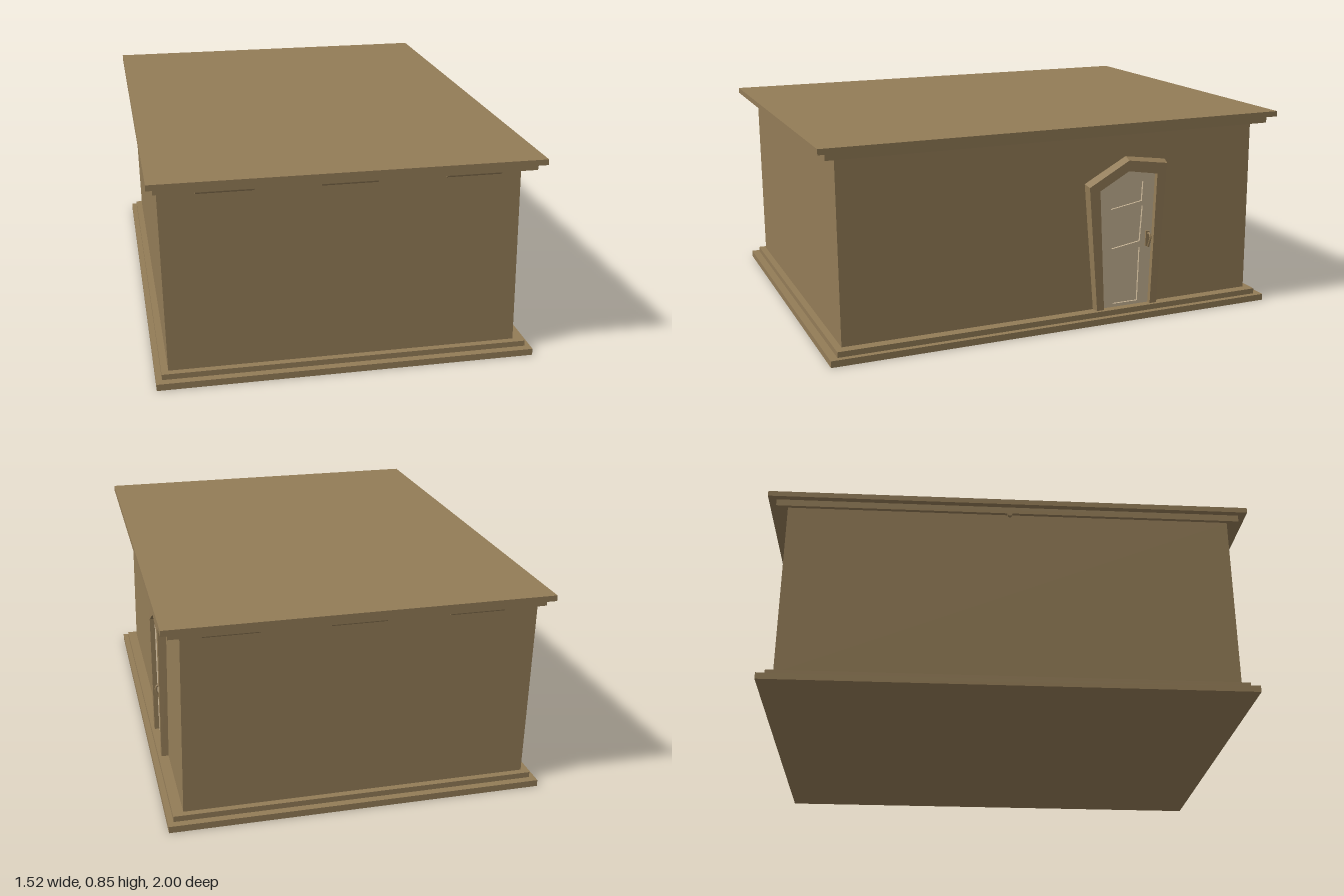
import * as THREE from 'three';

const brown = new THREE.MeshStandardMaterial({ color: 0x937c57 });
brown.name = 'wall brown';
const cream = new THREE.MeshStandardMaterial({ color: 0xc6b394 });
cream.name = 'door cream';

function add(parent, name, geometry, material = brown) {
  const mesh = new THREE.Mesh(geometry, material);
  mesh.name = name;
  parent.add(mesh);
  return mesh;
}

// Box between two heights, each end with its own x range: [xMin, xMax]
function slab(y0, y1, bottomX, topX, halfZ) {
  const g = new THREE.BoxGeometry(1, 1, 1);
  const p = g.attributes.position;
  for (let i = 0; i < p.count; i++) {
    const top = p.getY(i) > 0;
    const range = top ? topX : bottomX;
    p.setXYZ(i, range[p.getX(i) > 0 ? 1 : 0], top ? y1 : y0, Math.sign(p.getZ(i)) * halfZ);
  }
  g.computeVertexNormals();
  return g;
}

const toPoints = (list) => list.map(([u, y]) => new THREE.Vector2(u, y));

// Upright plate facing +x; outline is given as [-z, y]
function plate(outline, holes, depth) {
  const shape = new THREE.Shape(toPoints(outline));
  for (const hole of holes) shape.holes.push(new THREE.Path(toPoints(hole)));
  return new THREE.ExtrudeGeometry(shape, { depth, bevelEnabled: false });
}

function createDoor() {
  const door = new THREE.Group();
  door.name = 'door';
  door.position.x = 0.69;
  door.rotation.z = 0.013;

  const outer = [[0.465, 0.05], [0.5, 0.672], [0.31, 0.698], [0.12, 0.597], [0.165, 0.05]];
  const opening = [[0.425, 0.05], [0.445, 0.615], [0.31, 0.637], [0.178, 0.565], [0.205, 0.05]];
  const panels = [
    [[0.235, 0.545], [0.31, 0.594], [0.39, 0.583], [0.385, 0.5], [0.24, 0.476]],
    [[0.235, 0.444], [0.39, 0.48], [0.38, 0.326], [0.245, 0.305]],
    [[0.245, 0.278], [0.38, 0.3], [0.374, 0.064], [0.256, 0.064]],
  ];

  // Crooked frame, its outer edge drawn in slightly towards the front
  const frameGeo = plate([...outer, ...opening.slice().reverse()], [], 0.045);
  const p = frameGeo.attributes.position;
  for (let i = 0; i < p.count; i++) {
    const isOuter = outer.some(([u, y]) => Math.hypot(p.getX(i) - u, p.getY(i) - y) < 1e-4);
    if (isOuter && p.getZ(i) > 0.02) {
      p.setX(i, 0.31 + (p.getX(i) - 0.31) * 0.95);
      p.setY(i, 0.05 + (p.getY(i) - 0.05) * 0.975);
    }
  }
  frameGeo.computeVertexNormals();
  frameGeo.rotateY(Math.PI / 2);
  add(door, 'doorFrame', frameGeo).position.x = -0.01;

  // Door leaf with three sunken panels
  add(door, 'doorLeaf', plate(opening, panels, 0.025).rotateY(Math.PI / 2), cream).position.x = -0.01;
  for (const panel of panels) {
    add(door, 'doorPanel', plate(panel, [], 0.012).rotateY(Math.PI / 2), cream).position.x = -0.006;
  }

  // Handle plate and curved grip
  add(door, 'handlePlate', new THREE.BoxGeometry(0.008, 0.065, 0.018)).position.set(0.018, 0.335, -0.414);
  const grip = new THREE.CatmullRomCurve3([
    [0.018, 0.355], [0.036, 0.36], [0.044, 0.345], [0.036, 0.32], [0.028, 0.302],
  ].map(([x, y]) => new THREE.Vector3(x, y, -0.414)));
  add(door, 'handleGrip', new THREE.TubeGeometry(grip, 12, 0.005, 6));
  return door;
}

export function createModel() {
  const house = new THREE.Group();
  house.name = 'building';

  // Stepped base, leaning walls and stepped cornice
  add(house, 'baseLower', slab(0, 0.027, [-0.76, 0.76], [-0.76, 0.76], 0.98));
  add(house, 'baseUpper', slab(0.027, 0.05, [-0.737, 0.737], [-0.737, 0.737], 0.948));
  add(house, 'walls', slab(0.05, 0.795, [-0.71, 0.695], [-0.725, 0.68], 0.92));
  add(house, 'corniceLower', slab(0.795, 0.824, [-0.74, 0.73], [-0.74, 0.73], 0.967));
  add(house, 'roof', slab(0.824, 0.847, [-0.765, 0.757], [-0.765, 0.757], 1));

  // Rounded ledges under the cornice, front and back
  for (const z of [-0.92, 0.92]) {
    for (const x of [-0.473, 0, 0.49]) {
      const ledge = new THREE.CylinderGeometry(0.016, 0.016, 0.22, 10).rotateZ(Math.PI / 2);
      add(house, 'ledge', ledge).position.set(x, 0.789, z);
    }
  }

  // Small peg ends in the middle of each long side
  for (const x of [-0.725, 0.68]) {
    const peg = new THREE.CylinderGeometry(0.01, 0.01, 0.03, 8).rotateZ(Math.PI / 2);
    add(house, 'peg', peg).position.set(x, 0.794, 0);
  }

  house.add(createDoor());
  return house;
}
